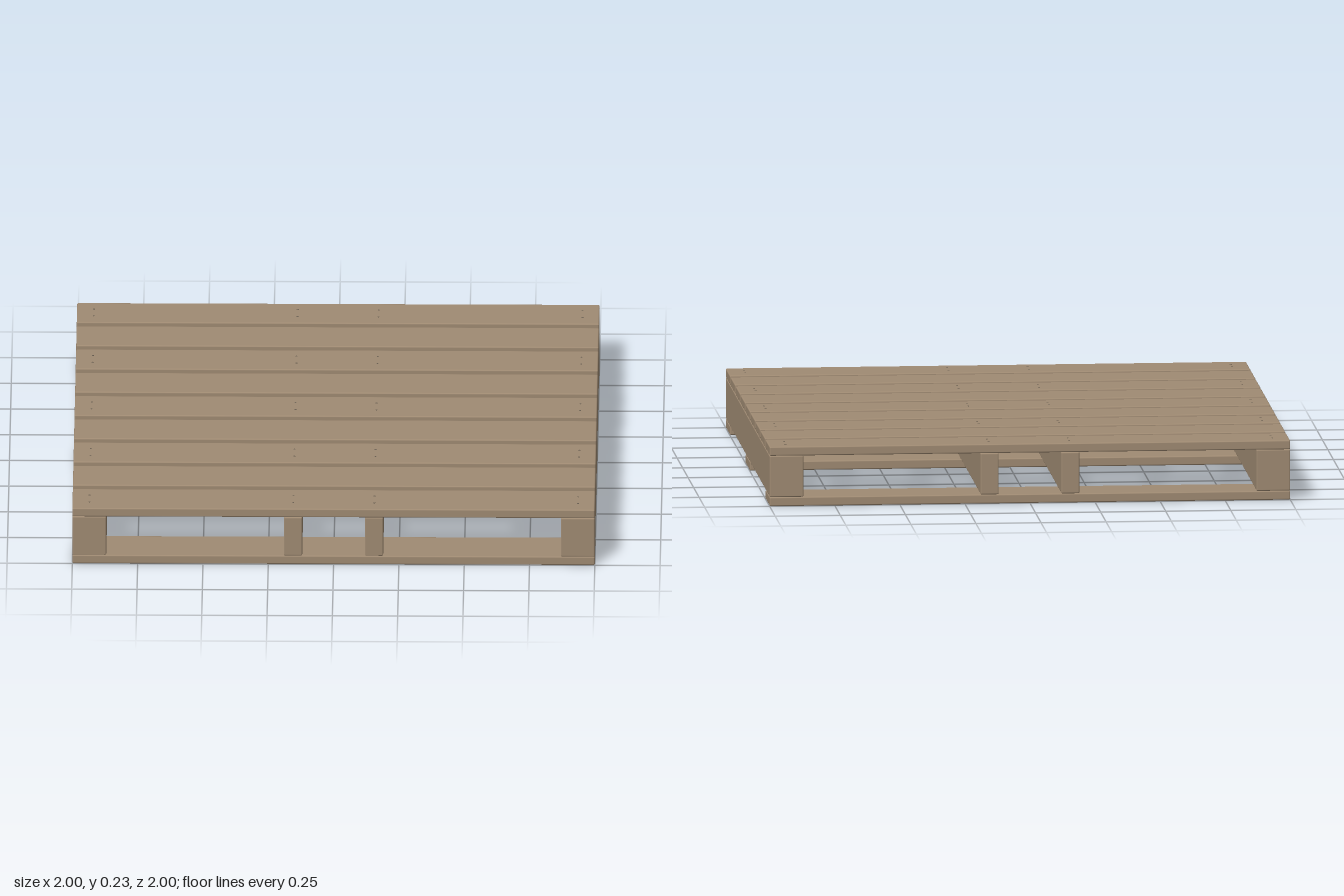
import * as THREE from 'three';
import { RoundedBoxGeometry } from 'three/addons/geometries/RoundedBoxGeometry.js';

const wood = new THREE.MeshStandardMaterial({ color: 0xa08b73 });
wood.name = 'wood';
const nailSteel = new THREE.MeshStandardMaterial({ color: 0x6f6456 });
nailSteel.name = 'nail steel';

const BOARD = 0.035;   // board thickness
const WIDTH = 0.19;    // board width
const HEIGHT = 0.23;   // overall height
const PITCH = (2 - WIDTH) / 8;

export function createModel() {
  const pallet = new THREE.Group();
  pallet.name = 'pallet';

  // A timber with slightly eased edges, placed by its centre
  function timber(name, w, h, d, x, y, z) {
    const mesh = new THREE.Mesh(new RoundedBoxGeometry(w, h, d, 2, 0.005), wood);
    mesh.name = name;
    mesh.position.set(x, y, z);
    pallet.add(mesh);
  }

  // Stringers: wide at the sides, a narrow pair near the middle
  const stringerHeight = HEIGHT - 2 * BOARD;
  for (const side of [-1, 1]) {
    timber('outerStringer', 0.13, stringerHeight, 2, side * 0.935, HEIGHT / 2, 0);
    timber('innerStringer', 0.07, stringerHeight, 2, side * 0.155, HEIGHT / 2, 0);
  }

  // Bottom boards
  for (const z of [-4, 0, 4]) timber('bottomBoard', 2, BOARD, WIDTH, 0, BOARD / 2, z * PITCH);

  // Deck boards, every second one nailed to the stringers
  const nailGeometry = new THREE.CylinderGeometry(0.004, 0.004, 0.004, 8);
  for (let i = -4; i <= 4; i++) {
    const z = i * PITCH;
    timber('deckBoard', 2, BOARD, WIDTH, 0, HEIGHT - BOARD / 2, z);
    if (i % 2 !== 0) continue;
    for (const x of [-0.935, -0.155, 0.155, 0.935]) {
      for (const dz of [-0.033, 0.033]) {
        const nail = new THREE.Mesh(nailGeometry, nailSteel);
        nail.name = 'nailHead';
        nail.position.set(x, HEIGHT - 0.001, z + dz);
        pallet.add(nail);
      }
    }
  }
  return pallet;
}
